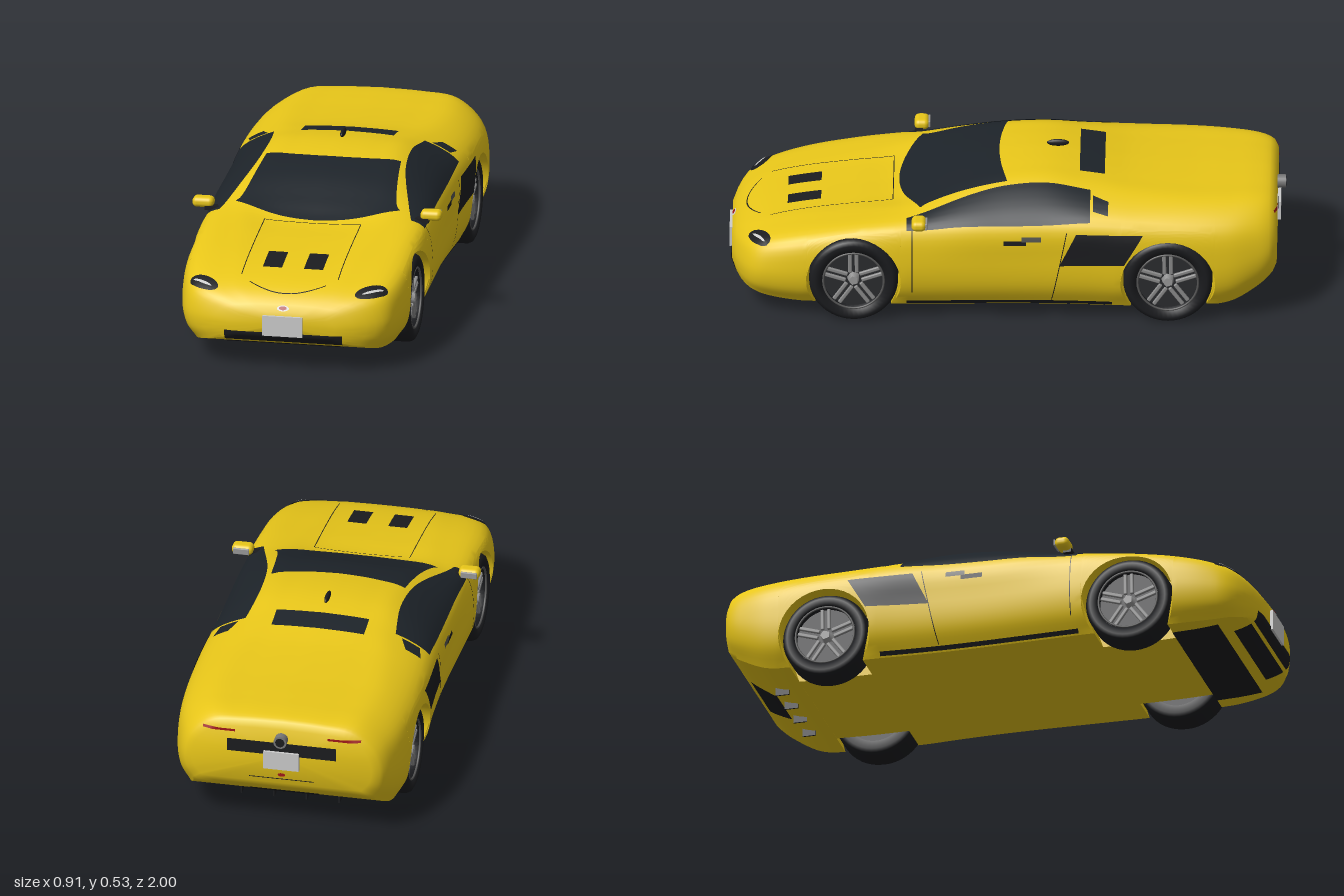
import * as THREE from 'three';
import { toCreasedNormals } from 'three/addons/utils/BufferGeometryUtils.js';
import { RoundedBoxGeometry } from 'three/addons/geometries/RoundedBoxGeometry.js';

const YELLOW = 0xe8c619, BLACK = 0x1b1c1f, GLASS = 0x1d2329, GREY = 0xcccccc, RED = 0xa01818;
const mat = (color, side = THREE.FrontSide) => new THREE.MeshStandardMaterial({ color, side });
const lerp = THREE.MathUtils.lerp;

// Body stations: z, top y, roof half width, roof edge y, shoulder x, shoulder y, half width, floor y
const STATIONS = [
  [0.99, 0.225, 0.10, 0.222, 0.16, 0.205, 0.19, 0.135],
  [0.965, 0.255, 0.15, 0.25, 0.24, 0.235, 0.28, 0.105],
  [0.92, 0.285, 0.20, 0.28, 0.32, 0.26, 0.355, 0.085],
  [0.85, 0.31, 0.22, 0.307, 0.36, 0.285, 0.39, 0.07],
  [0.72, 0.335, 0.24, 0.337, 0.385, 0.315, 0.415, 0.06],
  [0.55, 0.355, 0.26, 0.363, 0.39, 0.345, 0.425, 0.055],
  [0.40, 0.37, 0.28, 0.385, 0.395, 0.36, 0.425, 0.055],
  [0.30, 0.412, 0.30, 0.405, 0.395, 0.365, 0.422, 0.055],
  [0.15, 0.472, 0.27, 0.452, 0.40, 0.372, 0.418, 0.055],
  [0, 0.502, 0.25, 0.482, 0.40, 0.375, 0.414, 0.055],
  [-0.15, 0.51, 0.245, 0.49, 0.40, 0.38, 0.414, 0.055],
  [-0.30, 0.492, 0.26, 0.47, 0.405, 0.385, 0.42, 0.055],
  [-0.45, 0.468, 0.29, 0.452, 0.41, 0.38, 0.43, 0.055],
  [-0.65, 0.455, 0.31, 0.44, 0.41, 0.37, 0.43, 0.057],
  [-0.80, 0.452, 0.30, 0.435, 0.395, 0.365, 0.418, 0.07],
  [-0.90, 0.448, 0.28, 0.43, 0.365, 0.36, 0.39, 0.12],
  [-0.955, 0.435, 0.26, 0.415, 0.335, 0.35, 0.36, 0.165],
  [-0.97, 0.41, 0.24, 0.395, 0.31, 0.34, 0.33, 0.19],
];
const WHEEL_Z = [0.55, -0.58], WHEEL_Y = 0.16, ARCH_R = 0.17;

// Smooth interpolation of the station values at any z
function station(z) {
  const S = STATIONS, last = S.length - 1;
  let k = 0;
  while (k < last - 1 && z < S[k + 1][0]) k++;
  const h = S[k + 1][0] - S[k][0], t = (z - S[k][0]) / h, t2 = t * t, t3 = t2 * t;
  const slope = (i, c) => {
    const a = S[Math.max(i - 1, 0)], b = S[Math.min(i + 1, last)];
    return (b[c] - a[c]) / (b[0] - a[0]);
  };
  return S[k].map((v, c) => v * (2 * t3 - 3 * t2 + 1) + S[k + 1][c] * (3 * t2 - 2 * t3)
    + h * (slope(k, c) * (t3 - 2 * t2 + t) + slope(k + 1, c) * (t3 - t2)));
}

// One closed cross-section; inside a wheel arch its side stops at the arch edge
function section(z, archZ) {
  const [, yt, wr, yr, ws, ys, w, yb] = station(z), N = 32, wb = w * 0.88;
  const curve = new THREE.CatmullRomCurve3([
    [0, yt], [wr * 0.55, lerp(yt, yr, 0.25)], [wr, yr], [ws, ys],
    [w, lerp(yb, ys, 0.6)], [w * 0.975, lerp(yb, ys, 0.25)], [wb, yb],
  ].map(([x, y]) => new THREE.Vector3(x, y, 0)));
  let low = yb, cut = 1;
  if (archZ !== undefined) {
    low = WHEEL_Y + Math.sqrt(Math.max(0, ARCH_R ** 2 - (z - archZ) ** 2));
    let a = 0.5, b = 1;
    for (let i = 0; i < 24; i++) {
      const m = (a + b) / 2;
      if (curve.getPoint(m).y > low) a = m; else b = m;
    }
    cut = a;
  }
  const half = [];
  for (let i = 0; i <= N; i++) {
    const t = i / N;
    half.push(curve.getPoint(t <= 0.5 ? t : lerp(0.5, cut, t * 2 - 1)));
  }
  const xin = Math.min(0.25, wb * 0.8);
  for (const [x, y] of [[xin, low], [xin, yb], [0, yb]]) half.push(new THREE.Vector3(x, y, 0));
  const ring = [...half, ...half.slice(1, -1).reverse().map(p => new THREE.Vector3(-p.x, p.y, 0))];
  for (const p of ring) {
    p.z = z;
    // lower half of the arch closes in around the wheel
    for (const c of WHEEL_Z) if (Math.abs(z - c) <= ARCH_R + 1e-6 && p.y < WHEEL_Y) {
      const r = Math.sqrt(Math.max(0, ARCH_R ** 2 - (p.y - WHEEL_Y) ** 2));
      p.z = c + THREE.MathUtils.clamp(z - c, -r, r);
    }
  }
  return ring;
}

function bodyGeometry() {
  const rings = [];
  const span = (z0, z1, n) => { for (let i = 0; i <= n; i++) rings.push(section(lerp(z0, z1, i / n))); };
  const arch = c => { for (let i = 0; i <= 20; i++) rings.push(section(c + ARCH_R * Math.cos(Math.PI * i / 20), c)); };
  span(0.99, WHEEL_Z[0] + ARCH_R, 16);
  arch(WHEEL_Z[0]);
  span(WHEEL_Z[0] - ARCH_R, WHEEL_Z[1] + ARCH_R, 30);
  arch(WHEEL_Z[1]);
  span(WHEEL_Z[1] - ARCH_R, -0.97, 16);
  const pos = [], n = rings[0].length;
  const tri = (a, b, c) => {
    const area = b.clone().sub(a).cross(c.clone().sub(a)).length();
    if (area > 1e-9) for (const p of [a, b, c]) pos.push(p.x, p.y, p.z);
  };
  const end = rings.length - 1, front = new THREE.Vector3(0, 0.18, 0.99), back = new THREE.Vector3(0, 0.3, -0.97);
  for (let j = 0; j < n; j++) {
    const k = (j + 1) % n;
    for (let i = 0; i < end; i++) {
      tri(rings[i][j], rings[i][k], rings[i + 1][j]);
      tri(rings[i][k], rings[i + 1][k], rings[i + 1][j]);
    }
    tri(front, rings[0][k], rings[0][j]);
    tri(back, rings[end][j], rings[end][k]);
  }
  const g = new THREE.BufferGeometry();
  g.setAttribute('position', new THREE.Float32BufferAttribute(pos, 3));
  return toCreasedNormals(g, 0.7);
}

export function createModel() {
  const car = new THREE.Group();
  const add = (name, geo, color, x = 0, y = 0, z = 0, parent = car) => {
    const m = new THREE.Mesh(geo, mat(color));
    m.name = name;
    m.position.set(x, y, z);
    parent.add(m);
    return m;
  };
  const body = add('body', bodyGeometry(), YELLOW);
  body.updateMatrixWorld(true);

  // Lays a thin panel on the body; map(u, v) gives two coordinates seen along the axis
  const AXES = {
    top: (a, b) => [[a, 2, b], [0, -1, 0]], under: (a, b) => [[a, -2, b], [0, 1, 0]],
    left: (a, b) => [[2, b, a], [-1, 0, 0]], right: (a, b) => [[-2, b, a], [1, 0, 0]],
    front: (a, b) => [[a, b, 3], [0, 0, -1]], rear: (a, b) => [[a, b, -3], [0, 0, 1]],
  };
  const ray = new THREE.Raycaster();
  function drape(name, color, axis, map, nu = 8, nv = 8, lift = 0.003) {
    const g = new THREE.PlaneGeometry(1, 1, nu, nv), p = g.attributes.position;
    let last = new THREE.Vector3();
    for (let i = 0; i < p.count; i++) {
      const [o, d] = AXES[axis](...map(p.getX(i) + 0.5, p.getY(i) + 0.5));
      ray.set(new THREE.Vector3(...o), new THREE.Vector3(...d));
      const hit = ray.intersectObject(body)[0];
      if (hit) last = hit.point.clone().addScaledVector(hit.face.normal, lift);
      p.setXYZ(i, last.x, last.y, last.z);
    }
    g.computeVertexNormals();
    add(name, g, color).material.side = THREE.DoubleSide;
  }
  const quad = (a, b, c, d) => (u, v) => [0, 1].map(i => lerp(lerp(a[i], b[i], u), lerp(d[i], c[i], u), v));
  const rect = (a0, a1, b0, b1) => (u, v) => [lerp(a0, a1, u), lerp(b0, b1, v)];
  const oval = (x, y, rx, ry, tilt = 0) => (u, v) => {
    const p = rx * v * Math.cos(u * 2 * Math.PI), q = ry * v * Math.sin(u * 2 * Math.PI);
    return [x + p * Math.cos(tilt) - q * Math.sin(tilt), y + p * Math.sin(tilt) + q * Math.cos(tilt)];
  };

  // Glass
  drape('windshield', GLASS, 'top', (u, v) => {
    const s = u * 2 - 1, x = s * lerp(0.3, 0.245, Math.sqrt(v));
    return [x, lerp(0.39 - 0.08 * s * s, 0.03 - 0.03 * s * s, v)];
  }, 20, 20);
  drape('rearWindow', GLASS, 'top', rect(-0.17, 0.17, -0.35, -0.26));
  const sill = new THREE.SplineCurve([[0.35, 0.36], [0.325, 0.27], [0.285, 0.12], [0.264, 0], [0.258, -0.15], [0.275, -0.3]]
    .map(p => new THREE.Vector2(...p)));

  // Hood, nose and tail details
  drape('hoodSeam', BLACK, 'top', rect(-0.177, 0.177, 0.409, 0.412), 12, 1);
  drape('hoodFrontSeam', BLACK, 'top', (u, v) => [lerp(-0.14, 0.14, u), 0.935 - 2 * (u - 0.5) ** 2 * 0.1 + v * 0.004], 12, 1);
  drape('upperGrille', BLACK, 'front', rect(-0.215, 0.215, 0.108, 0.145), 20, 6);
  drape('lowerGrille', BLACK, 'front', rect(-0.215, 0.215, 0.078, 0.1), 20, 6);
  drape('splitter', BLACK, 'front', rect(-0.3, 0.3, 0.06, 0.071), 20, 4);
  add('frontPlate', new THREE.BoxGeometry(0.146, 0.075, 0.016), GREY, 0, 0.172, 0.992);
  drape('frontBadge', GREY, 'front', oval(0, 0.235, 0.022, 0.009), 20, 2);
  drape('frontBadgeCentre', RED, 'front', oval(0, 0.235, 0.014, 0.006), 20, 2, 0.005);
  drape('rearPanel', BLACK, 'rear', rect(-0.2, 0.2, 0.305, 0.355));
  add('rearPlate', new THREE.BoxGeometry(0.13, 0.07, 0.014), GREY, 0, 0.285, -0.975);
  drape('rearBadge', RED, 'rear', oval(0, 0.225, 0.014, 0.007), 16, 2);
  drape('rearSeam', BLACK, 'rear', rect(-0.12, 0.12, 0.207, 0.21), 8, 1);
  drape('rearDiffuser', BLACK, 'under', quad([-0.13, -0.93], [0.13, -0.93], [0.1, -0.84], [-0.1, -0.84]));
  add('exhaust', new THREE.CylinderGeometry(0.024, 0.024, 0.04, 24), 0x777777, 0, 0.372, -0.98).rotation.x = Math.PI / 2;
  add('exhaustBore', new THREE.CylinderGeometry(0.017, 0.017, 0.04, 24), BLACK, 0, 0.372, -0.981).rotation.x = Math.PI / 2;
  add('antenna', new THREE.SphereGeometry(1, 16, 12), BLACK, 0, 0.521, -0.18).scale.set(0.009, 0.013, 0.04);
  for (const x of [-0.18, -0.06, 0.06, 0.18]) add('rearFin', new THREE.BoxGeometry(0.006, 0.035, 0.05), BLACK, x, 0.065, -0.8);

  // Tyre profile from inner to outer bead
  const tyre = new THREE.LatheGeometry([[0.11, -0.06], [0.14, -0.062], [0.153, -0.055], [0.16, -0.04], [0.16, 0.04],
    [0.153, 0.055], [0.14, 0.062], [0.114, 0.058], [0.11, 0.02]].map(p => new THREE.Vector2(...p)), 48);
  const spoke = new RoundedBoxGeometry(0.08, 0.014, 0.012, 2, 0.004);

  for (const s of [1, -1]) {
    const side = s > 0 ? 'left' : 'right';
    const flip = f => (u, v) => { const [a, b] = f(u, v); return [a * s, b]; };
    drape(side + 'SideWindow', GLASS, 'top', flip((u, v) => {
      const p = sill.getPoint(u);
      return [lerp(p.x, 0.398, v), p.y];
    }), 24, 10);
    drape(side + 'QuarterWindow', GLASS, 'top', flip(quad([0.3, -0.31], [0.365, -0.31], [0.38, -0.365], [0.325, -0.365])));
    drape(side + 'Headlight', BLACK, 'top', flip(oval(0.305, 0.888, 0.062, 0.026, -0.55)), 28, 5);
    drape(side + 'HeadlightStrip', GREY, 'top', flip(oval(0.31, 0.89, 0.042, 0.005, -0.55)), 16, 3, 0.006);
    drape(side + 'HoodVent', BLACK, 'top', flip(rect(0.04, 0.11, 0.67, 0.79)));
    drape(side + 'HoodEdgeSeam', BLACK, 'top', flip(rect(0.175, 0.178, 0.41, 0.85)), 1, 16);
    drape(side + 'TailLight', RED, 'rear', flip(rect(0.17, 0.29, 0.385, 0.394)), 10, 2);
    drape(side + 'Intake', BLACK, side, quad([-0.19, 0.23], [-0.25, 0.355], [-0.49, 0.355], [-0.423, 0.24]));
    drape(side + 'DoorHandleRecess', BLACK, side, rect(0.01, -0.07, 0.31, 0.328), 4, 2);
    drape(side + 'DoorHandle', 0x55554f, side, rect(-0.055, -0.125, 0.325, 0.343), 4, 2, 0.006);
    drape(side + 'DoorFrontSeam', BLACK, side, rect(0.338, 0.341, 0.12, 0.36), 1, 12);
    drape(side + 'DoorRearSeam', BLACK, side, quad([-0.215, 0.36], [-0.218, 0.36], [-0.163, 0.08], [-0.16, 0.08]), 1, 12);
    drape(side + 'Sill', BLACK, side, rect(0.36, -0.38, 0.061, 0.076), 16, 2);

    // Door mirror
    add(side + 'Mirror', new RoundedBoxGeometry(0.078, 0.038, 0.052, 4, 0.017), YELLOW, s * 0.417, 0.398, 0.315);
    add(side + 'MirrorGlass', new RoundedBoxGeometry(0.06, 0.024, 0.008, 2, 0.003), 0x999999, s * 0.419, 0.398, 0.288);
    add(side + 'MirrorArm', new THREE.BoxGeometry(0.05, 0.016, 0.03), BLACK, s * 0.385, 0.38, 0.325);

    // Wheels
    for (const z of WHEEL_Z) {
      const wheel = new THREE.Group();
      wheel.name = side + (z > 0 ? 'FrontWheel' : 'RearWheel');
      wheel.position.set(s * 0.348, WHEEL_Y, z);
      wheel.rotation.y = s > 0 ? 0 : Math.PI;
      car.add(wheel);
      const t = add('tyre', tyre, BLACK, 0, 0, 0, wheel);
      t.rotation.z = -Math.PI / 2;
      t.material.side = THREE.DoubleSide;
      add('rimDisc', new THREE.CylinderGeometry(0.111, 0.111, 0.07, 40), 0x2b2c2e, -0.01, 0, 0, wheel).rotation.z = -Math.PI / 2;
      add('rimRing', new THREE.TorusGeometry(0.109, 0.004, 8, 40), 0x555555, 0.055, 0, 0, wheel).rotation.y = Math.PI / 2;
      add('hub', new THREE.CylinderGeometry(0.018, 0.024, 0.03, 5), 0x999999, 0.04, 0, 0, wheel).rotation.z = -Math.PI / 2;
      for (let i = 0; i < 10; i++) {
        const a = (Math.floor(i / 2) / 5) * Math.PI * 2 + 0.3, off = i % 2 ? 0.012 : -0.012;
        const m = add('spoke', spoke, 0x8a8a8a, 0.04, Math.sin(a) * 0.066 + Math.cos(a) * off, Math.cos(a) * 0.066 - Math.sin(a) * off, wheel);
        m.rotation.set(-a, Math.PI / 2, 0);
      }
    }
  }
  return car;
}
